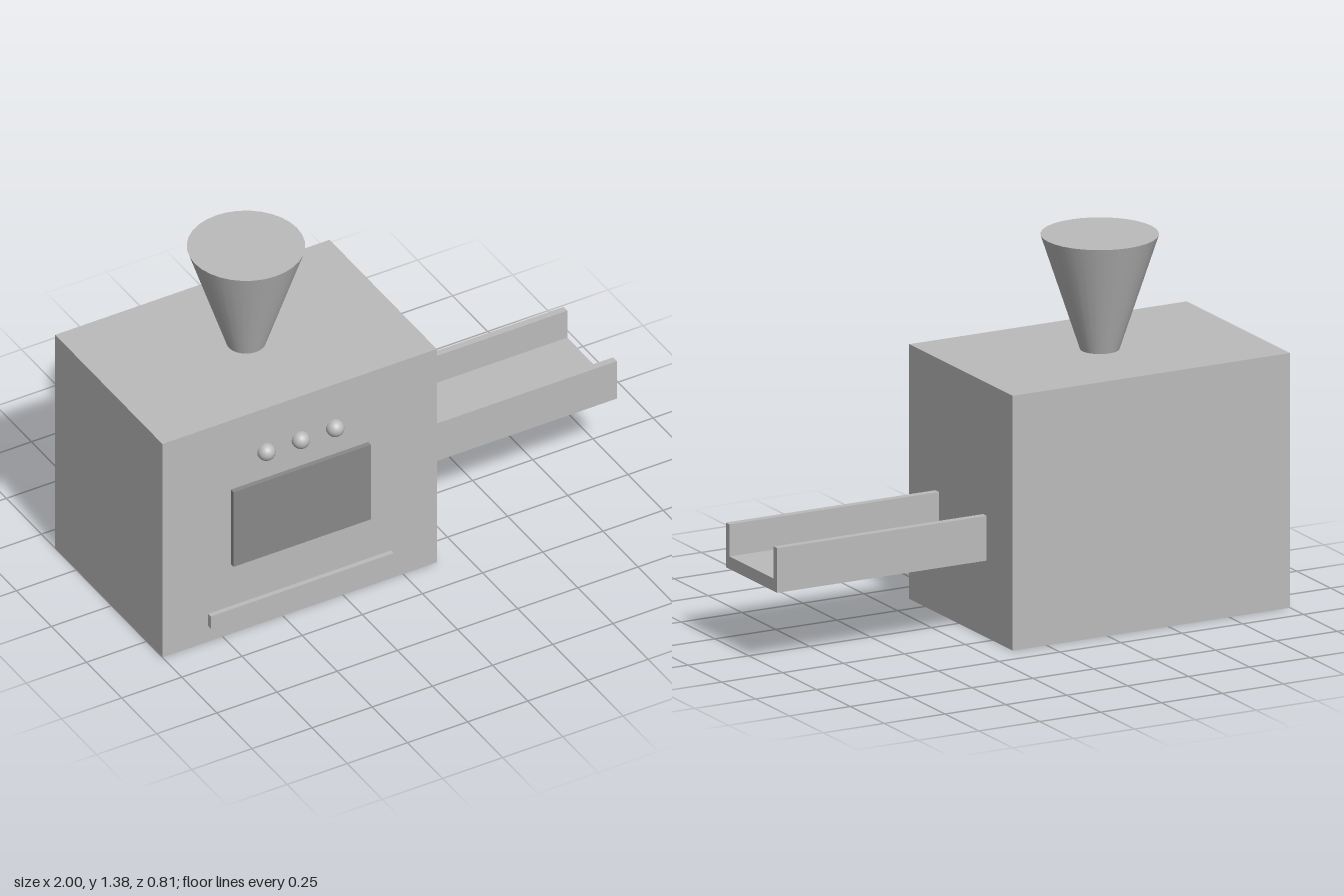
import * as THREE from 'three';

export function createModel() {
  const model = new THREE.Group();
  const lightGrey = new THREE.MeshStandardMaterial({ color: 0xbbbbbb });
  lightGrey.name = 'light grey';
  const darkGrey = new THREE.MeshStandardMaterial({ color: 0x888888 });
  darkGrey.name = 'dark grey';

  function add(name, geometry, material, parent = model) {
    const mesh = new THREE.Mesh(geometry, material);
    mesh.name = name;
    parent.add(mesh);
    return mesh;
  }

  // Box given by its lower and upper corners
  function box(name, [x0, y0, z0], [x1, y1, z1], material) {
    const mesh = add(name, new THREE.BoxGeometry(x1 - x0, y1 - y0, z1 - z0), material);
    mesh.position.set((x0 + x1) / 2, (y0 + y1) / 2, (z0 + z1) / 2);
  }

  // Machine housing with its front panel and lower ledge
  box('housing', [-1, 0, -0.402], [0.14, 0.952, 0.362], lightGrey);
  box('window', [-0.715, 0.31, 0.362], [-0.145, 0.643, 0.381], darkGrey);
  box('ledge', [-0.81, 0.069, 0.362], [-0.05, 0.124, 0.381], lightGrey);

  // Row of control knobs, half sunk into the front
  const knobs = new THREE.Group();
  knobs.name = 'knobs';
  model.add(knobs);
  for (let i = -1; i <= 1; i++) {
    const knob = add('knob', new THREE.SphereGeometry(0.034, 24, 16), lightGrey, knobs);
    knob.position.set(-0.43 + i * 0.143, 0.765, 0.37);
  }

  // Closed funnel on top
  const funnelGeometry = new THREE.CylinderGeometry(0.213, 0.071, 0.429, 32);
  const funnel = add('funnel', funnelGeometry, lightGrey);
  funnel.position.set(-0.43, 1.1665, -0.02);

  // U-shaped chute, extruded sideways from the housing
  const profile = new THREE.Shape([
    [-0.19, 0.288], [0.19, 0.288], [0.19, 0.455], [0.163, 0.455],
    [0.163, 0.335], [-0.163, 0.335], [-0.163, 0.455], [-0.19, 0.455],
  ].map(([x, y]) => new THREE.Vector2(x, y)));
  const chuteGeometry = new THREE.ExtrudeGeometry(profile, { depth: 0.86, bevelEnabled: false });
  const chute = add('chute', chuteGeometry, lightGrey);
  chute.rotation.y = Math.PI / 2;
  chute.position.set(0.14, 0, -0.02);

  return model;
}
